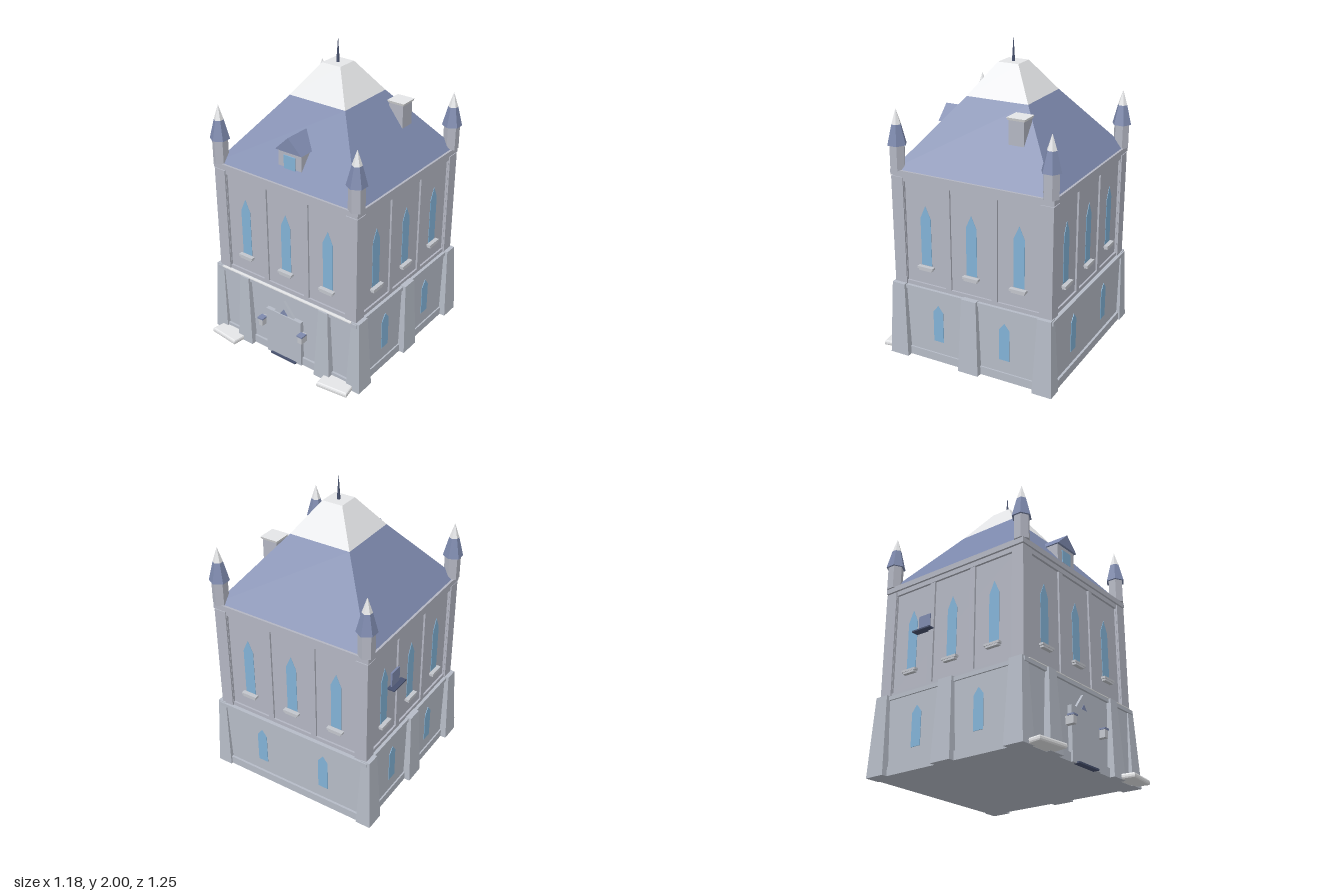
import * as THREE from 'three';

const material = (name, color) => {
  const m = new THREE.MeshStandardMaterial({ color });
  m.name = name;
  return m;
};

// Faceted normals
const flat = (geo) => {
  const g = geo.index ? geo.toNonIndexed() : geo;
  g.computeVertexNormals();
  return g;
};

// Box whose top is scaled in x and z
function taperedBox(w, h, d, sx = 1, sz = 1) {
  const g = new THREE.BoxGeometry(w, h, d);
  const p = g.attributes.position;
  for (let i = 0; i < p.count; i++) {
    if (p.getY(i) > 0) p.setXYZ(i, p.getX(i) * sx, p.getY(i), p.getZ(i) * sz);
  }
  return flat(g);
}

// Square frustum given by half widths
const frustum = (top, bottom, h) =>
  flat(new THREE.CylinderGeometry(top * Math.SQRT2, bottom * Math.SQRT2, h, 4).rotateY(Math.PI / 4));

const polygon = (pts) => new THREE.Shape(pts.map(([x, y]) => new THREE.Vector2(x, y)));
const extrude = (shape, depth) => new THREE.ExtrudeGeometry(shape, { depth, bevelEnabled: false });

// Pointed lancet outline
const lancet = (w, h, point) =>
  polygon([[-w / 2, 0], [w / 2, 0], [w / 2, h - point], [0, h], [-w / 2, h - point]]);

export function createModel() {
  const stone = material('wall stone', 0xb3b6c2);
  const baseStone = material('base stone', 0xb5bbc6);
  const slate = material('roof slate', 0x7d89ad);
  const darkSlate = material('dark metal', 0x48526f);
  const glass = material('window glass', 0x82b2d6);
  const snow = material('snow', 0xe6e7e9);
  const trim = material('pale trim', 0xc2c5cc);

  const model = new THREE.Group();
  const tower = new THREE.Group();
  tower.name = 'house';
  tower.position.z = -0.05;
  model.add(tower);

  const add = (parent, name, geo, mat, x = 0, y = 0, z = 0) => {
    const m = new THREE.Mesh(geo, mat);
    m.name = name;
    m.position.set(x, y, z);
    parent.add(m);
    return m;
  };
  // Box placed by its lower face
  const box = (parent, name, mat, w, h, d, x, y, z) =>
    add(parent, name, new THREE.BoxGeometry(w, h, d), mat, x, y + h / 2, z);

  // Lower storey
  box(tower, 'lowerWalls', baseStone, 1.085, 0.48, 1.085, 0, 0, 0);
  box(tower, 'plinth', baseStone, 1.105, 0.055, 1.115, 0, 0, 0);
  box(tower, 'lowerBand', baseStone, 1.105, 0.025, 1.115, 0, 0.465, 0);
  box(tower, 'frontLedgeSnow', snow, 1.03, 0.006, 0.02, 0, 0.488, 0.55);
  for (const sx of [-1, 1]) {
    for (const sz of [-1, 1]) {
      add(tower, 'cornerButtress', taperedBox(0.1, 0.495, 0.13, 0.58, 0.68), baseStone, sx * 0.54, 0.2475, sz * 0.505);
    }
    add(tower, 'sideButtress', taperedBox(0.1, 0.495, 0.14, 0.6, 0.72), baseStone, sx * 0.54, 0.2475, 0);
    add(tower, 'frontButtress', taperedBox(0.12, 0.49, 0.1, 0.58, 0.6), baseStone, sx * 0.315, 0.245, 0.54);
  }

  // Upper storey
  box(tower, 'upperWalls', stone, 1.04, 0.72, 1.04, 0, 0.48, 0);
  box(tower, 'corniceStep', stone, 1.07, 0.03, 1.07, 0, 1.17, 0);
  box(tower, 'cornice', stone, 1.09, 0.035, 1.09, 0, 1.203, 0);
  for (const sx of [-1, 1]) {
    for (const sz of [-1, 1]) {
      box(tower, 'cornerPilaster', stone, 0.082, 0.71, 0.082, sx * 0.501, 0.485, sz * 0.501);
    }
  }

  // Panel frame with three openings
  const frameShape = polygon([[-0.47, 0.49], [0.47, 0.49], [0.47, 1.19], [-0.47, 1.19]]);
  for (const x of [-0.318, 0, 0.318]) {
    const w = 0.14;
    frameShape.holes.push(polygon([[x - w, 0.515], [x - w, 1.17], [x + w, 1.17], [x + w, 0.515]]));
  }
  const frameGeo = extrude(frameShape, 0.017);
  const tallWindow = extrude(lancet(0.072, 0.39, 0.08), 0.008);
  const lowWindow = extrude(lancet(0.07, 0.25, 0.045), 0.008);

  // Four sides, the first facing front
  for (let i = 0; i < 4; i++) {
    const side = new THREE.Group();
    side.name = ['frontSide', 'leftSide', 'backSide', 'rightSide'][i];
    side.rotation.y = (i * Math.PI) / 2;
    tower.add(side);
    add(side, 'panelFrame', frameGeo, stone, 0, 0, 0.515);
    for (const x of [-0.318, 0, 0.318]) {
      add(side, 'tallWindow', tallWindow, glass, x, 0.64, 0.515);
      box(side, 'windowSill', trim, 0.09, 0.012, 0.03, x, 0.61, 0.53);
      box(side, 'windowSillTop', trim, 0.108, 0.014, 0.036, x, 0.622, 0.53);
    }
    if (i > 0) {
      for (const x of [-0.232, 0.232]) add(side, 'lowWindow', lowWindow, glass, x, 0.14, 0.538);
    }
  }

  // Entrance
  add(tower, 'doorGable', extrude(polygon([[-0.15, 0.24], [0.15, 0.24], [0, 0.43]]), 0.02), baseStone, 0, 0, 0.54);
  add(tower, 'doorPeak', extrude(polygon([[-0.035, 0.325], [0.035, 0.325], [0, 0.37]]), 0.008), slate, 0, 0, 0.555);
  box(tower, 'doorBlock', baseStone, 0.28, 0.33, 0.04, 0, 0, 0.55);
  box(tower, 'doorStep', darkSlate, 0.2, 0.01, 0.04, 0, 0, 0.565);
  for (const s of [-1, 1]) {
    box(tower, 'lantern', trim, 0.032, 0.05, 0.055, s * 0.16, 0.205, 0.578);
    box(tower, 'lanternCap', slate, 0.043, 0.01, 0.045, s * 0.16, 0.253, 0.588);
  }

  // Main roof
  add(tower, 'mainRoof', frustum(0.206, 0.533, 0.415), slate, 0, 1.4425, 0);
  add(tower, 'snowyRoofTop', frustum(0.068, 0.206, 0.195), snow, 0, 1.7475, 0);
  add(tower, 'spire', flat(new THREE.ConeGeometry(0.011, 0.16, 6)), darkSlate, 0, 1.92, 0);

  // Corner turrets
  const hex = (top, bottom, h) => flat(new THREE.CylinderGeometry(top, bottom, h, 6));
  for (const sx of [-1, 1]) {
    for (const sz of [-1, 1]) {
      const turret = new THREE.Group();
      turret.name = 'turret';
      turret.position.set(sx * 0.512, 0, sz * 0.51);
      tower.add(turret);
      add(turret, 'turretShaft', hex(0.05, 0.05, 0.155), stone, 0, 1.3125, 0);
      add(turret, 'turretRoof', hex(0.031, 0.063, 0.125), slate, 0, 1.4525, 0);
      add(turret, 'turretSnow', flat(new THREE.ConeGeometry(0.031, 0.095, 6)), snow, 0, 1.5625, 0);
    }
  }

  // Chimney
  box(tower, 'chimney', stone, 0.1, 0.26, 0.1, 0.315, 1.34, -0.213);
  add(tower, 'chimneyCap', frustum(0.06, 0.054, 0.016), snow, 0.315, 1.604, -0.213);

  // Dormer
  const dormer = new THREE.Group();
  dormer.name = 'dormer';
  tower.add(dormer);
  const dormerWall = polygon([[-0.087, 1.315], [0.087, 1.315], [0.087, 1.432], [0, 1.505], [-0.087, 1.432]]);
  add(dormer, 'dormerWalls', extrude(dormerWall, 0.2), stone, 0, 0, 0.265);
  const dormerRoof = polygon([[-0.098, 1.43], [0, 1.51], [0.098, 1.43], [0, 1.522]]);
  dormerRoof.autoClose = true;
  add(dormer, 'dormerRoof', extrude(polygon([[-0.098, 1.428], [0.098, 1.428], [0, 1.522]]), 0.19), slate, 0, 0, 0.29);
  box(dormer, 'dormerWindow', glass, 0.085, 0.085, 0.008, 0, 1.315, 0.467);

  // Small wall shelf on the -x side
  box(tower, 'wallShelf', darkSlate, 0.055, 0.009, 0.14, -0.543, 0.855, -0.21);
  box(tower, 'shelfBack', slate, 0.012, 0.1, 0.09, -0.532, 0.862, -0.21);

  // Snow drifts beside the entrance
  for (const s of [-1, 1]) {
    const outline = polygon([[0.335, -0.5], [0.525, -0.5], [0.54, -0.59], [0.35, -0.61]].map(([x, y]) => [s * x, y]));
    const drift = new THREE.ExtrudeGeometry(outline, {
      depth: 0.012, bevelThickness: 0.011, bevelSize: 0.011, bevelSegments: 2,
    });
    drift.rotateX(-Math.PI / 2);
    add(model, 'snowDrift', drift, snow, 0, 0.012, 0);
  }

  return model;
}
